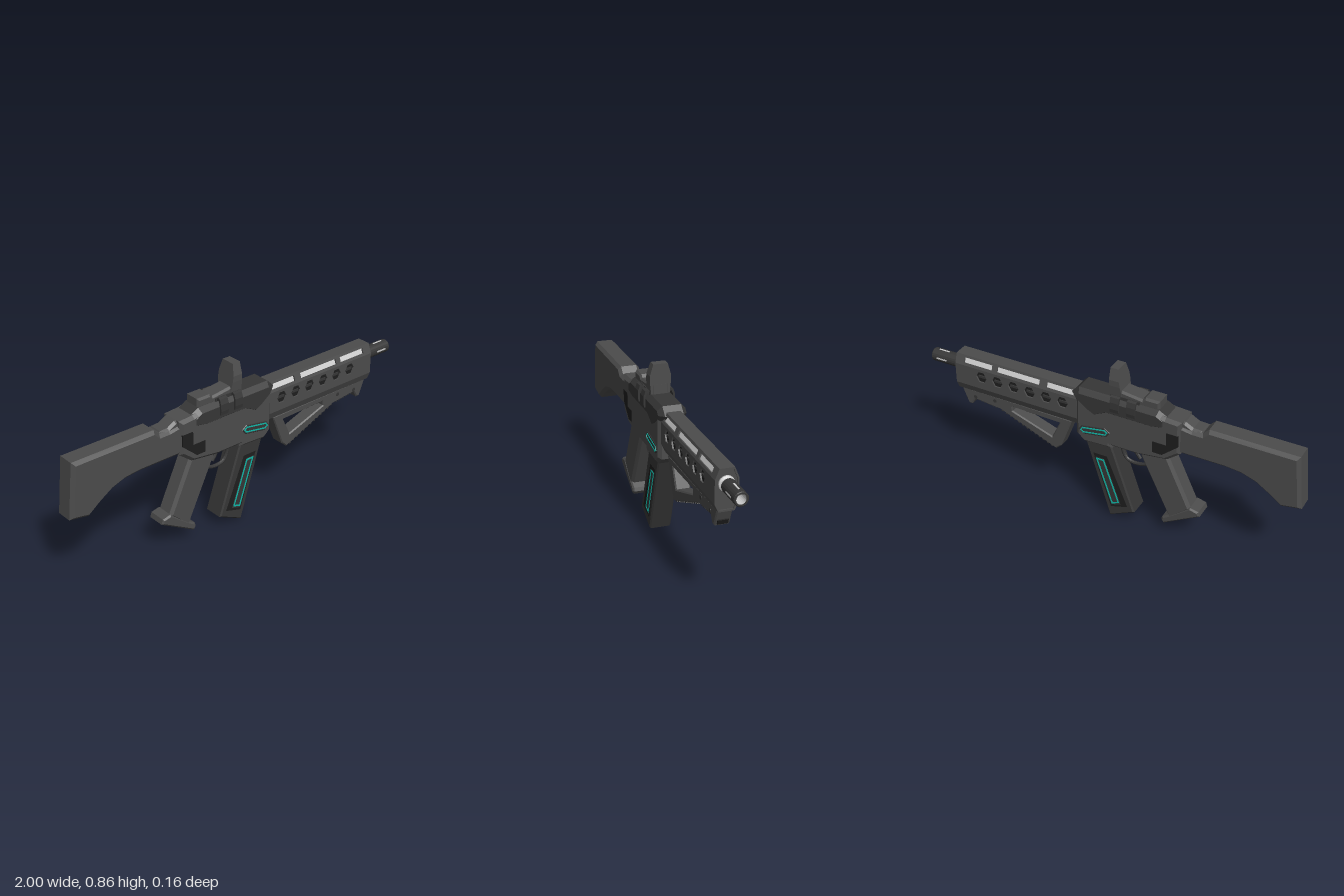
import * as THREE from 'three';

const mat = (color) => new THREE.MeshStandardMaterial({ color, flatShading: true, side: THREE.DoubleSide });

export function createModel() {
  const root = new THREE.Group();
  const grey = mat(0x4c4c4c), dark = mat(0x363636), black = mat(0x1e1e1e), silver = mat(0xcccccc), glow = mat(0x10b8a8);

  const add = (name, geometry, material, parent = root) => {
    const m = new THREE.Mesh(geometry, material);
    m.name = name;
    parent.add(m);
    return m;
  };
  const outline = (pts) => new THREE.Shape(pts.map(([x, y]) => new THREE.Vector2(x, y)));

  // Side profile extruded across z, with chamfered edges
  const slab = (name, pts, half, bevel, material, hole) => {
    const shape = outline(pts);
    if (hole) shape.holes.push(outline(hole));
    const g = new THREE.ExtrudeGeometry(shape, {
      depth: 2 * (half - bevel), bevelEnabled: bevel > 0, bevelThickness: bevel,
      bevelSize: bevel, bevelOffset: -bevel, bevelSegments: 1, curveSegments: 6,
    });
    return add(name, g.translate(0, 0, bevel - half), material);
  };
  // Cross-section in (z, y) extruded along x
  const along = (name, pts, x0, x1, material) => {
    const g = new THREE.ExtrudeGeometry(outline(pts), { depth: x1 - x0, bevelEnabled: false });
    return add(name, g.rotateY(Math.PI / 2).translate(x0, 0, 0), material);
  };
  const mirrored = (half) => [...half, ...half.map(([z, y]) => [-z, y]).reverse()];
  const box = (name, w, h, d, x, y, z, material, tilt = 0) => {
    const m = add(name, new THREE.BoxGeometry(w, h, d), material);
    m.position.set(x, y, z);
    m.rotation.z = tilt;
    return m;
  };
  // Thin line loop on both flanks
  const strokes = (name, pts, z, width, material) => {
    for (const s of [1, -1]) pts.forEach((a, i) => {
      const b = pts[(i + 1) % pts.length], dx = b[0] - a[0], dy = b[1] - a[1];
      box(name, Math.hypot(dx, dy) + width, width, 0.004, (a[0] + b[0]) / 2, (a[1] + b[1]) / 2, s * z, material, Math.atan2(dy, dx));
    });
  };
  const turned = (name, profile, sides, x, y, material) => {
    const g = new THREE.LatheGeometry(profile.map((p) => new THREE.Vector2(...p)), sides);
    add(name, g.rotateZ(-Math.PI / 2).translate(x, y, 0), material);
  };

  // Stock with curved underside and notched neck
  slab('stock', [[-0.97, 0.69], [-1, 0.41], [-0.9, 0.392], [-0.84, 0.437], [-0.77, 0.482], [-0.7, 0.506], [-0.62, 0.514],
    [-0.38, 0.514], [-0.38, 0.67], [-0.45, 0.66], [-0.5, 0.66], [-0.53, 0.69]], 0.056, 0.016, grey);
  slab('stockLatch', [[-0.51, 0.64], [-0.49, 0.666], [-0.45, 0.668], [-0.41, 0.69], [-0.36, 0.69], [-0.36, 0.64]], 0.045, 0.012, grey);

  // Receiver body and its darker upper cover
  slab('receiver', [[-0.4, 0.69], [-0.4, 0.515], [-0.33, 0.46], [-0.18, 0.44], [-0.04, 0.44], [-0.04, 0.425], [0.11, 0.418],
    [0.152, 0.455], [0.152, 0.68], [0.12, 0.705], [-0.28, 0.705], [-0.32, 0.695]], 0.068, 0.016, grey);
  slab('receiverCover', [[-0.33, 0.69], [-0.33, 0.625], [-0.25, 0.61], [-0.02, 0.61], [0.05, 0.575], [0.1, 0.6], [0.155, 0.64],
    [0.18, 0.68], [0.14, 0.718], [-0.28, 0.718]], 0.07, 0.024, dark);
  slab('rearInset', [[-0.39, 0.62], [-0.39, 0.56], [-0.31, 0.49], [-0.26, 0.49], [-0.26, 0.55], [-0.33, 0.55], [-0.33, 0.62]],
    0.0705, 0, black);

  // Side light strips in raised housings
  const tilt = -0.17;
  const place = ([u, v]) => [0.05 + u * Math.cos(tilt) - v * Math.sin(tilt), 0.505 + u * Math.sin(tilt) + v * Math.cos(tilt)];
  const capsule = (l, h) => [[-l, 0], [-l + h, h], [l - h, h], [l, 0], [l - h, -h], [-l + h, -h]].map(place);
  slab('lightHousing', capsule(0.088, 0.026), 0.071, 0.004, dark);
  strokes('lightStrip', capsule(0.072, 0.012), 0.0715, 0.006, glow);

  // Handguard built from flat plates with slots and vents
  const half = [[0.037, 0.495], [0.055, 0.535], [0.055, 0.645], [0.035, 0.695]];
  const section = mirrored(half);
  const x0 = 0.15, x1 = 0.84, wall = 0.008;
  const slots = [[0.17, 0.32], [0.36, 0.6], [0.63, 0.79]];
  section.forEach(([z, y], i) => {
    const [z2, y2] = section[(i + 1) % section.length];
    const len = Math.hypot(z2 - z, y2 - y);
    const shape = outline([[x0, 0], [x1, 0], [x1, len], [x0, len]]);
    if (i === 2 || i === 4) for (const [a, b] of slots) {
      shape.holes.push(outline([[a, 0.013], [b, 0.013], [b, 0.041], [a, 0.041]]));
    }
    if (i === 1 || i === 5) for (let k = 0; k < 6; k++) {
      const hex = Array.from({ length: 6 }, (_, j) => [0.23 + k * 0.092 + 0.03 * Math.cos(j * Math.PI / 3),
        0.067 - 0.0 + (i === 5 ? -0.024 : 0) + 0.033 * Math.sin(j * Math.PI / 3)]);
      shape.holes.push(outline(hex));
    }
    const g = new THREE.ExtrudeGeometry(shape, { depth: wall, bevelEnabled: false }).translate(0, 0, -wall);
    const X = new THREE.Vector3(1, 0, 0), Y = new THREE.Vector3(0, y2 - y, z2 - z).normalize();
    g.applyMatrix4(new THREE.Matrix4().makeBasis(X, Y, X.clone().cross(Y)).setPosition(0, y, z));
    add('handguardPlate', g, grey);
  });
  along('handguardFront', section.map(([z, y]) => [z * 0.9, 0.6 + (y - 0.6) * 0.93]), 0.81, 0.832, grey);
  along('innerSleeve', mirrored([[0.044, 0.64], [0.042, 0.655], [0.027, 0.682]]), 0.16, 0.81, silver);
  box('ventLiner', 0.65, 0.09, 0.088, 0.485, 0.59, 0, black);
  for (const s of [1, -1]) for (let k = 0; k < 6; k++) {
    box('ventBar', 0.04, 0.012, 0.006, 0.23 + k * 0.092, 0.602, s * 0.047, dark);
  }

  // Barrel and hollow muzzle
  turned('barrelCollar', [[0, 0], [0.037, 0], [0.037, 0.015], [0.029, 0.02], [0.029, 0.05], [0, 0.05]], 24, 0.825, 0.622, silver);
  turned('muzzle', [[0, 0], [0.034, 0], [0.034, 0.138], [0.031, 0.142], [0.024, 0.142], [0.024, 0.06]], 20, 0.858, 0.622, dark);
  turned('bore', [[0.0235, 0.139], [0.0235, 0.05], [0, 0.05]], 20, 0.858, 0.622, silver);
  for (let i = 0; i < 4; i++) {
    const a = i * Math.PI / 2;
    const slit = box('muzzleSlit', 0.06, 0.008, 0.004, 0.94, 0.622 + 0.033 * Math.sin(a), 0.033 * Math.cos(a), silver);
    slit.rotation.x = -a;
  }

  // Triangular foregrip with ribs, rail and pins
  slab('foregrip', [[0.19, 0.495], [0.255, 0.325], [0.285, 0.298], [0.6, 0.43], [0.75, 0.446], [0.77, 0.41], [0.79, 0.41], [0.825, 0.5]],
    0.037, 0.006, grey, [[0.26, 0.46], [0.53, 0.466], [0.53, 0.443], [0.305, 0.365]]);
  for (let i = 0; i < 13; i++) {
    const t = i / 12;
    box('foregripRib', 0.011, 0.01, 0.066, 0.31 + 0.28 * t, 0.309 + 0.117 * t, 0, dark, 0.397);
  }
  for (let i = 0; i < 7; i++) box('foregripRidge', 0.01, 0.01, 0.06, 0.63 + i * 0.017, 0.433 + i * 0.002, 0, dark);
  for (const [x, y] of [[0.63, 0.473], [0.745, 0.462]]) {
    add('foregripPin', new THREE.CylinderGeometry(0.01, 0.01, 0.078, 12).rotateX(Math.PI / 2).translate(x, y, 0), dark);
  }
  box('foregripSocket', 0.006, 0.024, 0.05, 0.802, 0.43, 0, black, -0.35);

  // Magazine with inset panel and light outline
  slab('magazine', [[-0.03, 0.45], [-0.162, 0.072], [-0.028, 0.008], [0.112, 0.45]], 0.055, 0.007, dark);
  slab('magazinePanel', [[-0.012, 0.365], [-0.125, 0.095], [-0.035, 0.068], [0.062, 0.365]], 0.0558, 0, black);
  slab('magazineFace', [[0.002, 0.345], [-0.088, 0.098], [-0.038, 0.082], [0.05, 0.345]], 0.0568, 0, dark);
  strokes('magazineLight', [[0.005, 0.338], [-0.077, 0.108], [-0.042, 0.094], [0.042, 0.338]], 0.0572, 0.007, glow);

  // Rear grip with flared foot
  slab('grip', [[-0.33, 0.475], [-0.46, 0.2], [-0.35, 0.1], [-0.19, 0.42], [-0.18, 0.455]], 0.05, 0.014, grey);
  slab('gripFoot', [[-0.455, 0.21], [-0.5, 0.2], [-0.508, 0.175], [-0.32, 0.066], [-0.306, 0.085], [-0.312, 0.104], [-0.345, 0.125]],
    0.052, 0.008, grey);

  // Trigger and guard
  const tube = (name, pts, r, material) => add(name, new THREE.TubeGeometry(
    new THREE.CatmullRomCurve3(pts.map(([x, y]) => new THREE.Vector3(x, y, 0))), 20, r, 8), material);
  tube('triggerGuard', [[-0.225, 0.42], [-0.21, 0.36], [-0.16, 0.338], [-0.1, 0.345], [-0.075, 0.38], [-0.065, 0.45]], 0.009, dark);
  tube('trigger', [[-0.135, 0.45], [-0.14, 0.41], [-0.165, 0.372]], 0.009, dark);

  // Sight: base, upright hood and side clamps
  slab('sightBase', [[-0.28, 0.705], [-0.28, 0.758], [-0.205, 0.758], [-0.19, 0.744], [-0.09, 0.757], [-0.02, 0.765], [-0.02, 0.705]],
    0.045, 0.01, grey);
  const hood = along('sightHood', mirrored([[0.046, 0.715], [0.053, 0.78], [0.053, 0.81], [0.036, 0.867]]), -0.085, -0.022, grey);
  const p = hood.geometry.attributes.position;
  for (let i = 0; i < p.count; i++) if (p.getX(i) < -0.05) p.setX(i, -0.09 + (p.getY(i) - 0.715) * 0.17);
  hood.geometry.computeVertexNormals();
  const band = [[0.04, 0.722], [0.058, 0.735], [0.07, 0.73], [0.079, 0.705], [0.08, 0.67], [0.076, 0.65],
    [0.068, 0.65], [0.07, 0.68], [0.068, 0.705], [0.06, 0.722], [0.046, 0.712]];
  for (const x of [-0.148, -0.062]) for (const s of [1, -1]) {
    along('sightClamp', band.map(([z, y]) => [s * z, y]), x - 0.023, x + 0.023, dark);
    box('clampFoot', 0.03, 0.03, 0.016, x, 0.667, s * 0.066, black);
  }
  box('clampBridge', 0.15, 0.03, 0.1, -0.105, 0.715, 0, dark);
  return root;
}
